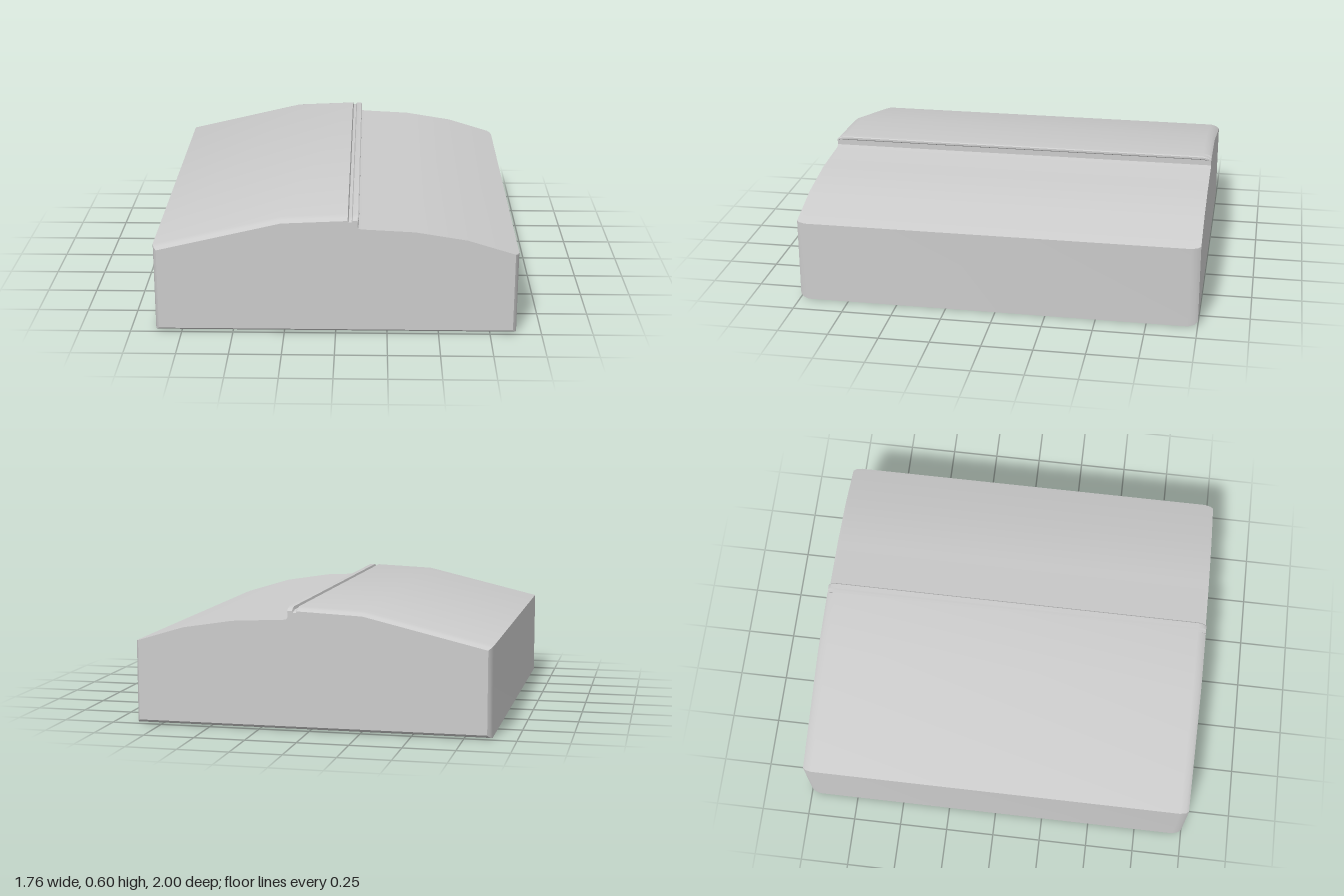
import * as THREE from 'three';
import { toCreasedNormals } from 'three/addons/utils/BufferGeometryUtils.js';

// Outline seen from the front, anticlockwise: x, y, and the bevel inset in x and y
const outline = [
  [-0.88, 0, 0.02, 0.02], [0.88, 0, -0.02, 0.02], // base
  [0.88, 0.41, -0.02, 0.006], [0.63, 0.486, 0, 0], [0.38, 0.526, 0, 0], // lower slope
  [0.125, 0.539, 0, 0], [0.11, 0.542, 0, 0], [0.104, 0.552, 0, 0], // foot of the step
  [0.104, 0.58, 0, -0.006], [0.112, 0.586, -0.006, -0.012],
  [0.112, 0.596, -0.006, -0.016], [0.107, 0.6, -0.004, -0.018], // lip
  [0.082, 0.6, 0, -0.018], [0.077, 0.586, 0, -0.012], // groove
  [0.063, 0.586, 0, -0.012], [0.058, 0.6, 0, -0.019],
  [-0.26, 0.586, 0, -0.02], [-0.88, 0.44, 0.02, -0.016], // upper slope
];

// Stations along the length: z and share of the bevel
const frontStations = [[0.955, 0], [0.985, 0.4], [1, 1]];
const stations = [...frontStations.map(([z, t]) => [-z, t]).reverse(), ...frontStations];

function bodyGeometry() {
  const n = outline.length;
  const positions = [];
  const index = [];
  for (const [z, t] of stations) {
    for (const [x, y, dx, dy] of outline) positions.push(x + dx * t, y + dy * t, z);
  }
  // Skin between neighbouring sections
  for (let s = 0; s < stations.length - 1; s++) {
    for (let i = 0; i < n; i++) {
      const j = (i + 1) % n;
      const a = s * n + i, b = s * n + j, c = a + n, d = b + n;
      index.push(a, b, d, a, d, c);
    }
  }
  // Flat end faces
  const end = outline.map(([x, y, dx, dy]) => new THREE.Vector2(x + dx, y + dy));
  const last = (stations.length - 1) * n;
  for (const [a, b, c] of THREE.ShapeUtils.triangulateShape(end, [])) {
    index.push(last + a, last + b, last + c, a, c, b);
  }
  const geometry = new THREE.BufferGeometry();
  geometry.setAttribute('position', new THREE.Float32BufferAttribute(positions, 3));
  geometry.setIndex(index);
  return toCreasedNormals(geometry, 0.5);
}

export function createModel() {
  const group = new THREE.Group();
  group.name = 'steppedBlock';
  const body = new THREE.Mesh(bodyGeometry(), new THREE.MeshStandardMaterial({ color: 0xcccccc }));
  body.name = 'body';
  group.add(body);
  return group;
}
